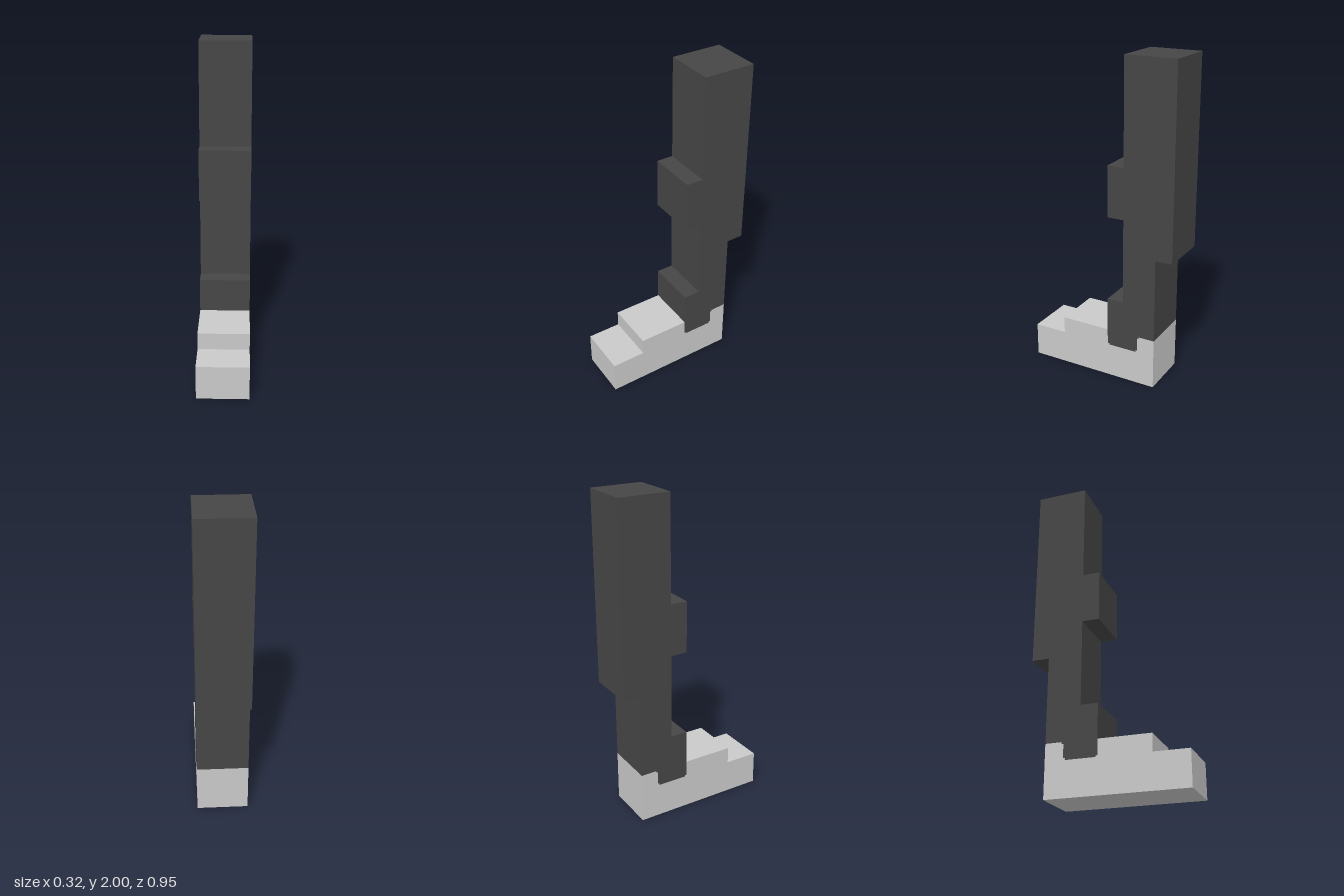
import * as THREE from 'three';

const WIDTH = 0.316;

// Extrudes a side profile of [z, y] points across the model's width.
function slab(name, points, material) {
  const shape = new THREE.Shape(points.map(([z, y]) => new THREE.Vector2(z, y)));
  const geometry = new THREE.ExtrudeGeometry(shape, { depth: WIDTH, bevelEnabled: false });
  geometry.rotateY(-Math.PI / 2).translate(WIDTH / 2, 0, 0);
  const mesh = new THREE.Mesh(geometry, material);
  mesh.name = name;
  return mesh;
}

export function createModel() {
  const charcoal = new THREE.MeshStandardMaterial({ color: 0x464646 });
  charcoal.name = 'charcoal trouser';
  const paleGrey = new THREE.MeshStandardMaterial({ color: 0xc9c9c9 });
  paleGrey.name = 'pale grey shoe';

  // Seam where the trouser cuff drops into the shoe, from front to back
  const seam = [
    [-0.053, 0.316], [-0.053, 0.222], [-0.064, 0.222], [-0.064, 0.213],
    [-0.246, 0.213], [-0.246, 0.225], [-0.257, 0.225], [-0.257, 0.307],
    [-0.268, 0.307], [-0.268, 0.318], [-0.368, 0.318],
  ];

  const model = new THREE.Group();
  model.name = 'leg';

  // Trouser leg with thigh, knee block and cuff
  model.add(slab('trouserLeg', [
    ...seam,
    [-0.368, 0.842], [-0.474, 0.842], [-0.474, 2], [-0.158, 2],
    [-0.158, 1.368], [-0.053, 1.368], [-0.053, 1.053], [-0.158, 1.053],
    [-0.158, 0.526], [-0.053, 0.526],
  ], charcoal));

  // Stepped shoe
  model.add(slab('shoe', [
    ...seam,
    [-0.368, 0], [0.474, 0], [0.474, 0.211], [0.263, 0.211], [0.263, 0.316],
  ], paleGrey));

  return model;
}
